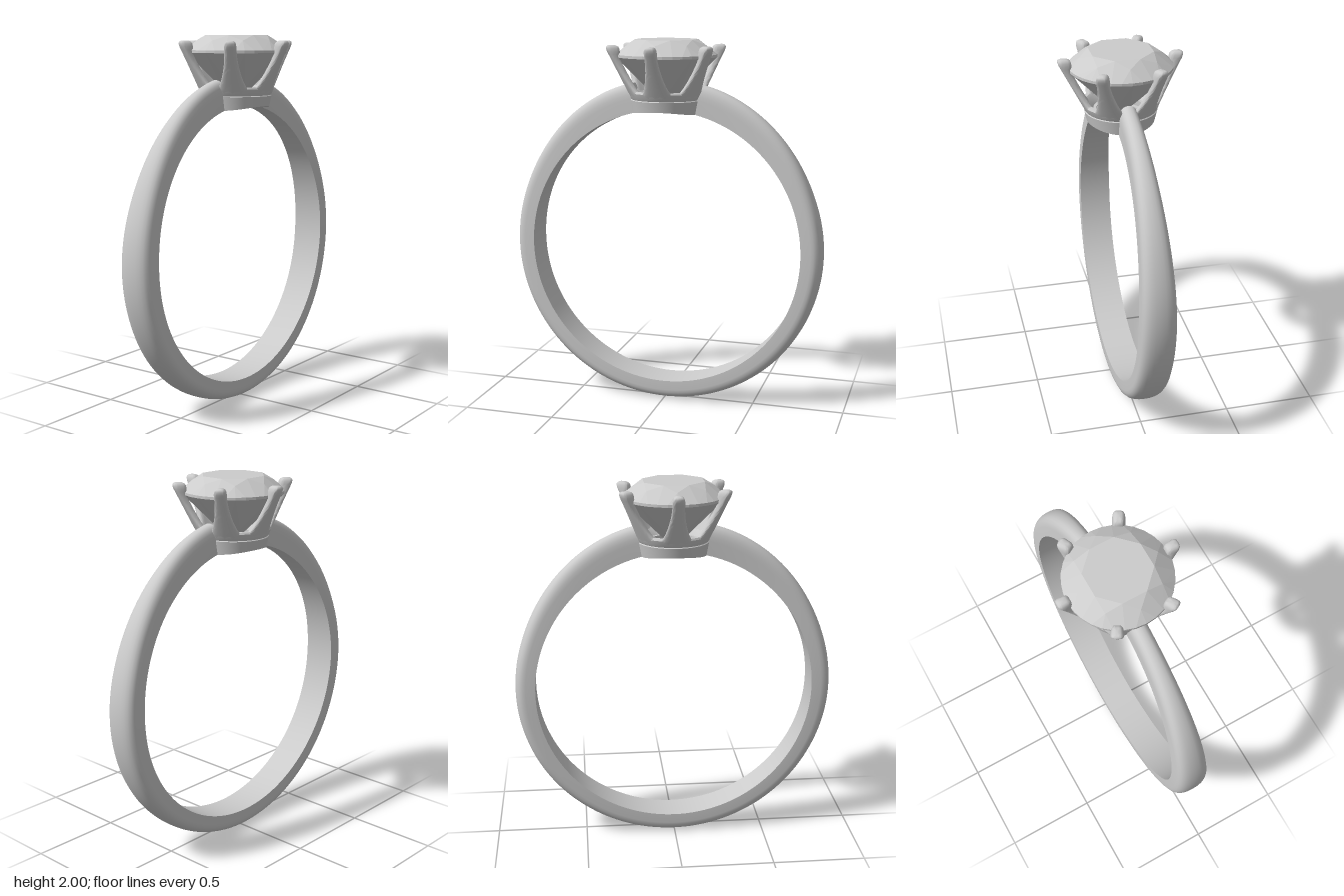
import * as THREE from 'three';
import { toCreasedNormals } from 'three/addons/utils/BufferGeometryUtils.js';
import { ConvexGeometry } from 'three/addons/geometries/ConvexGeometry.js';

const metal = new THREE.MeshStandardMaterial({ color: 0xcccccc });
const gem = new THREE.MeshStandardMaterial({ color: 0xcccccc, flatShading: true });
const CY = 0.87, INNER = 0.757; // finger hole centre height and radius
const smooth = THREE.MathUtils.smoothstep;

function add(parent, name, geometry, material = metal) {
  const mesh = new THREE.Mesh(geometry, material);
  mesh.name = name;
  parent.add(mesh);
  return mesh;
}

// Skin a list of closed rings and cap both ends
function loft(rings, crease) {
  const n = rings[0].length, pos = [], index = [];
  rings.forEach(r => r.forEach(p => pos.push(p.x, p.y, p.z)));
  for (let i = 0; i < rings.length - 1; i++) {
    for (let j = 0; j < n; j++) {
      const a = i * n + j, b = i * n + (j + 1) % n;
      index.push(a, b, b + n, a, b + n, a + n);
    }
  }
  [0, rings.length - 1].forEach(i => {
    const c = new THREE.Vector3();
    rings[i].forEach(p => c.addScaledVector(p, 1 / n));
    const k = pos.length / 3;
    pos.push(c.x, c.y, c.z);
    for (let j = 0; j < n; j++) {
      const a = i * n + j, b = i * n + (j + 1) % n;
      if (i === 0) index.push(k, b, a); else index.push(k, a, b);
    }
  });
  const g = new THREE.BufferGeometry();
  g.setAttribute('position', new THREE.Float32BufferAttribute(pos, 3));
  g.setIndex(index);
  return toCreasedNormals(g, crease);
}

// Band: flat inside, domed outside, narrower and thicker towards the setting
function bandGeometry() {
  const half = [[0.3, 0.99], [0.55, 0.95], [0.75, 0.88], [0.9, 0.77], [0.98, 0.63], [1, 0.48], [1, 0]];
  const section = [[0, 1], ...half, ...half.map(([z, u]) => [-z, u]).reverse()];
  const rings = [], steps = 160, start = 0.2;
  for (let i = 0; i <= steps; i++) {
    const phi = start + (2 * Math.PI - 2 * start) * i / steps;
    const fromTop = Math.min(phi, 2 * Math.PI - phi);
    const width = 0.048 + 0.042 * smooth(fromTop, 0.2, 1.7);
    const outer = 0.866 + 0.05 * (1 - smooth(fromTop, 0.15, 1.3));
    const shift = -0.01 * smooth(fromTop, 0.2, 1.7);
    rings.push(section.map(([z, u]) => {
      const r = INNER + (outer - INNER) * u;
      return new THREE.Vector3(r * Math.sin(phi), CY + r * Math.cos(phi), shift + z * width);
    }));
  }
  return loft(rings, 0.7);
}

// Claw: fills a sixth of the cup at its foot, narrows along a U, leans outward
function clawGeometry() {
  const rings = [], foot = 1.69, valley = 1.715, steps = 24;
  const ring = (y, scale) => {
    const out = 0.19 + (y - 1.69) * 0.52;
    const inn = Math.min(0.255, 0.15 + (y - 1.69) * 0.5);
    const s = THREE.MathUtils.clamp((y - valley) / 0.2, 0, 1);
    const gap = Math.sqrt(1 - (1 - s) ** 2);
    const angle = THREE.MathUtils.lerp(Math.PI / 6, 0.034 / out, gap);
    const points = [];
    for (let j = 0; j < 28; j++) {
      const t = j / 28 * Math.PI * 2;
      const pow = v => Math.sign(v) * Math.abs(v) ** 0.55;
      const r = (out + inn) / 2 + (out - inn) / 2 * scale * pow(Math.cos(t));
      const a = angle * scale * pow(Math.sin(t));
      points.push(new THREE.Vector3(r * Math.sin(a), y, r * Math.cos(a)));
    }
    return points;
  };
  for (let i = 0; i <= steps; i++) rings.push(ring(foot + (1.94 - foot) * (i / steps) ** 1.4, 1));
  [[1.955, 0.93], [1.965, 0.78], [1.971, 0.5]].forEach(([y, s]) => rings.push(ring(y, s)));
  return loft(rings, 1.1);
}

function latheGeometry(profile) {
  return new THREE.LatheGeometry(profile.map(p => new THREE.Vector2(...p)), 72);
}

// Base ring whose underside follows the finger hole
function baseGeometry() {
  const g = latheGeometry([[0.1, 1.61], [0.178, 1.61], [0.191, 1.68], [0.186, 1.685],
    [0.125, 1.685], [0.125, 1.655], [0.1, 1.655], [0.1, 1.61]]);
  const p = g.attributes.position;
  for (let i = 0; i < p.count; i++) {
    if (p.getY(i) < 1.62) p.setY(i, CY + Math.sqrt(INNER ** 2 - p.getX(i) ** 2));
  }
  return toCreasedNormals(g, 0.5);
}

// Brilliant cut: table, star points, girdle, pavilion and culet
function stoneGeometry() {
  const points = [];
  const circle = (n, r, y, turn = 0) => {
    for (let i = 0; i < n; i++) {
      const a = (i + turn) / n * Math.PI * 2;
      points.push(new THREE.Vector3(r * Math.sin(a), y, r * Math.cos(a)));
    }
  };
  circle(8, 0.17, 2.0, 0.5);
  circle(8, 0.215, 1.972);
  circle(32, 0.27, 1.922);
  circle(32, 0.27, 1.908);
  circle(8, 0.085, 1.722, 0.5);
  circle(1, 0, 1.645);
  return new ConvexGeometry(points);
}

export function createModel() {
  const model = new THREE.Group();
  model.name = 'ring';
  add(model, 'band', bandGeometry());

  // Setting
  const setting = new THREE.Group();
  setting.name = 'setting';
  model.add(setting);
  add(setting, 'baseRing', baseGeometry());
  add(setting, 'cup', toCreasedNormals(latheGeometry([[0.14, 1.683], [0.186, 1.683], [0.191, 1.69],
    [0.203, 1.72], [0.198, 1.73], [0.178, 1.73], [0.165, 1.72], [0.14, 1.683]]), 0.6));
  const claw = clawGeometry();
  for (let i = 0; i < 6; i++) add(setting, 'claw', claw).rotation.y = i * Math.PI / 3;

  add(model, 'stone', stoneGeometry(), gem);
  return model;
}
